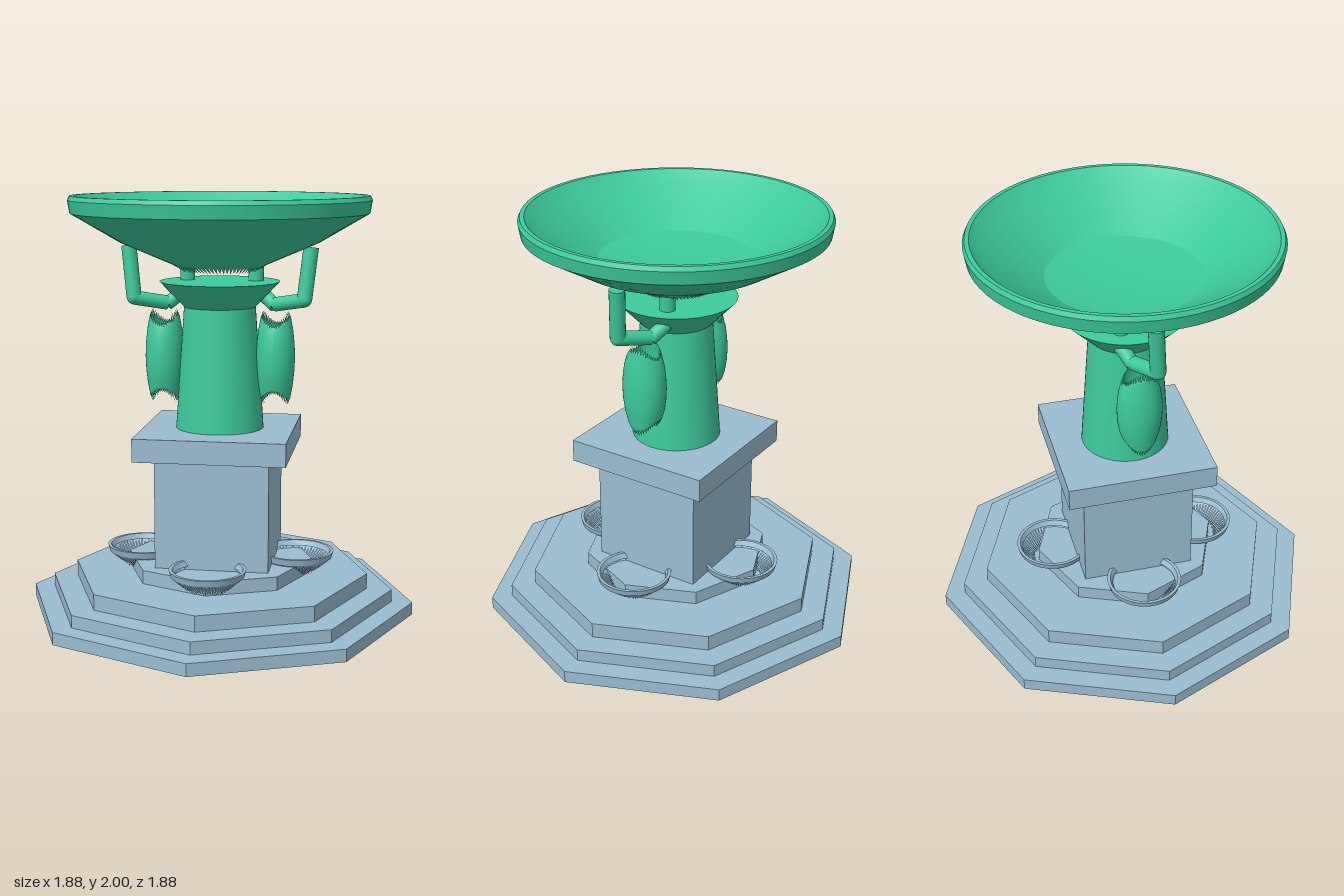
import * as THREE from 'three';
import { toCreasedNormals } from 'three/addons/utils/BufferGeometryUtils.js';

const stone = new THREE.MeshStandardMaterial({ color: 0x9bbdd1, side: THREE.DoubleSide });
const bronze = new THREE.MeshStandardMaterial({ color: 0x3dca9c, side: THREE.DoubleSide });

function add(parent, name, geometry, material, x = 0, y = 0, z = 0) {
  const mesh = new THREE.Mesh(geometry, material);
  mesh.name = name;
  mesh.position.set(x, y, z);
  parent.add(mesh);
  return mesh;
}

const lathe = (points, segments = 64) =>
  new THREE.LatheGeometry(points.map(([r, y]) => new THREE.Vector2(r, y)), segments);
const creased = (geometry) => toCreasedNormals(geometry, 0.3);

// Ring of pointed teeth: full edge at `base`, points at `tip`
function teeth(base, tip, segments = 64) {
  const g = lathe([tip, base], segments);
  g.setIndex(Array.from(g.index.array).filter((_, k) => k % 6 >= 3));
  return g;
}

// Squeeze a sleeve in x and make its ends saddle-shaped
function saddle(g) {
  const p = g.attributes.position;
  for (let i = 0; i < p.count; i++) {
    const x = p.getX(i), y = p.getY(i), z = p.getZ(i);
    const c = (x * x - z * z) / (x * x + z * z);
    p.setXYZ(i, x * 0.87, y + Math.sign(y) * 0.025 * c * (y / 0.18) ** 2, z);
  }
  g.computeVertexNormals();
  return g;
}

// Round bar between two points
function bar(parent, name, a, b, radius) {
  const from = new THREE.Vector3(...a), to = new THREE.Vector3(...b);
  const dir = to.clone().sub(from);
  const mesh = add(parent, name, new THREE.CylinderGeometry(radius, radius, dir.length(), 20), bronze);
  mesh.position.copy(from).addScaledVector(dir, 0.5);
  mesh.quaternion.setFromUnitVectors(new THREE.Vector3(0, 1, 0), dir.normalize());
}

export function createModel() {
  const model = new THREE.Group();
  model.name = 'fountain';

  // Octagonal steps
  [[0.94, 0, 0.06], [0.84, 0.06, 0.12], [0.72, 0.12, 0.195], [0.45, 0.195, 0.26]].forEach(([r, y0, y1], i) => {
    const g = new THREE.CylinderGeometry(r, r, y1 - y0, 8).toNonIndexed();
    g.computeVertexNormals();
    add(model, 'step' + (i + 1), g, stone, 0, (y0 + y1) / 2, 0);
  });

  // Square pedestal and its cap
  add(model, 'pedestal', new THREE.BoxGeometry(0.54, 0.53, 0.54), stone, 0, 0.525, 0);
  add(model, 'pedestalCap', new THREE.BoxGeometry(0.715, 0.11, 0.715), stone, 0, 0.845, 0);

  // Four small basins against the pedestal
  for (let i = 0; i < 4; i++) {
    const basin = new THREE.Group();
    basin.name = 'smallBasin';
    const a = (i * Math.PI) / 2;
    basin.position.set(Math.sin(a) * 0.375, 0, Math.cos(a) * 0.375);
    add(basin, 'basinRim', creased(lathe([[0.172, 0.27], [0.18, 0.3], [0.165, 0.3], [0.152, 0.275]])), stone);
    add(basin, 'basinWall', teeth([0.172, 0.27], [0.09, 0.2]), stone);
    model.add(basin);
  }

  // Central figure: column and flared collar
  add(model, 'column', new THREE.CylinderGeometry(0.17, 0.21, 0.58, 48), bronze, 0, 1.19, 0);
  add(model, 'collar', new THREE.CylinderGeometry(0.285, 0.17, 0.12, 48), bronze, 0, 1.54, 0);

  // Large upper bowl with a toothed foot
  add(model, 'bowl', creased(lathe([
    [0, 1.685], [0.225, 1.68], [0.47, 1.785], [0.70, 1.92], [0.71, 1.98], [0.70, 2],
    [0.68, 2], [0.62, 1.94], [0.36, 1.79], [0, 1.74],
  ], 72)), bronze);
  add(model, 'bowlFoot', teeth([0.225, 1.68], [0.17, 1.645], 72), bronze);

  // Arms, sleeves and struts on both sides
  for (const s of [-1, 1]) {
    const side = new THREE.Group();
    side.name = s > 0 ? 'leftSide' : 'rightSide';

    const sleeve = new THREE.Group();
    sleeve.name = 'sleeve';
    sleeve.position.set(s * 0.267, 1.24, 0);
    add(sleeve, 'sleeveBody', saddle(lathe([
      [0.082, -0.17], [0.095, -0.12], [0.103, -0.06], [0.106, 0], [0.103, 0.06], [0.095, 0.12], [0.082, 0.17],
    ], 40)), bronze);
    for (const e of [-1, 1])
      add(sleeve, 'sleeveFringe', saddle(teeth([0.082, e * 0.17], [0.066, e * 0.198], 40)), bronze);
    side.add(sleeve);

    bar(side, 'shoulder', [s * 0.19, 1.54, -0.07], [s * 0.26, 1.485, -0.03], 0.033);
    bar(side, 'upperArm', [s * 0.26, 1.49, -0.03], [s * 0.405, 1.52, 0.045], 0.034);
    add(side, 'elbow', new THREE.SphereGeometry(0.035, 20, 14), bronze, s * 0.405, 1.522, 0.045);
    bar(side, 'forearm', [s * 0.405, 1.522, 0.045], [s * 0.432, 1.765, 0.025], 0.036);
    bar(side, 'strut', [s * 0.165, 1.54, -0.06], [s * 0.165, 1.72, -0.06], 0.036);
    model.add(side);
  }
  return model;
}
